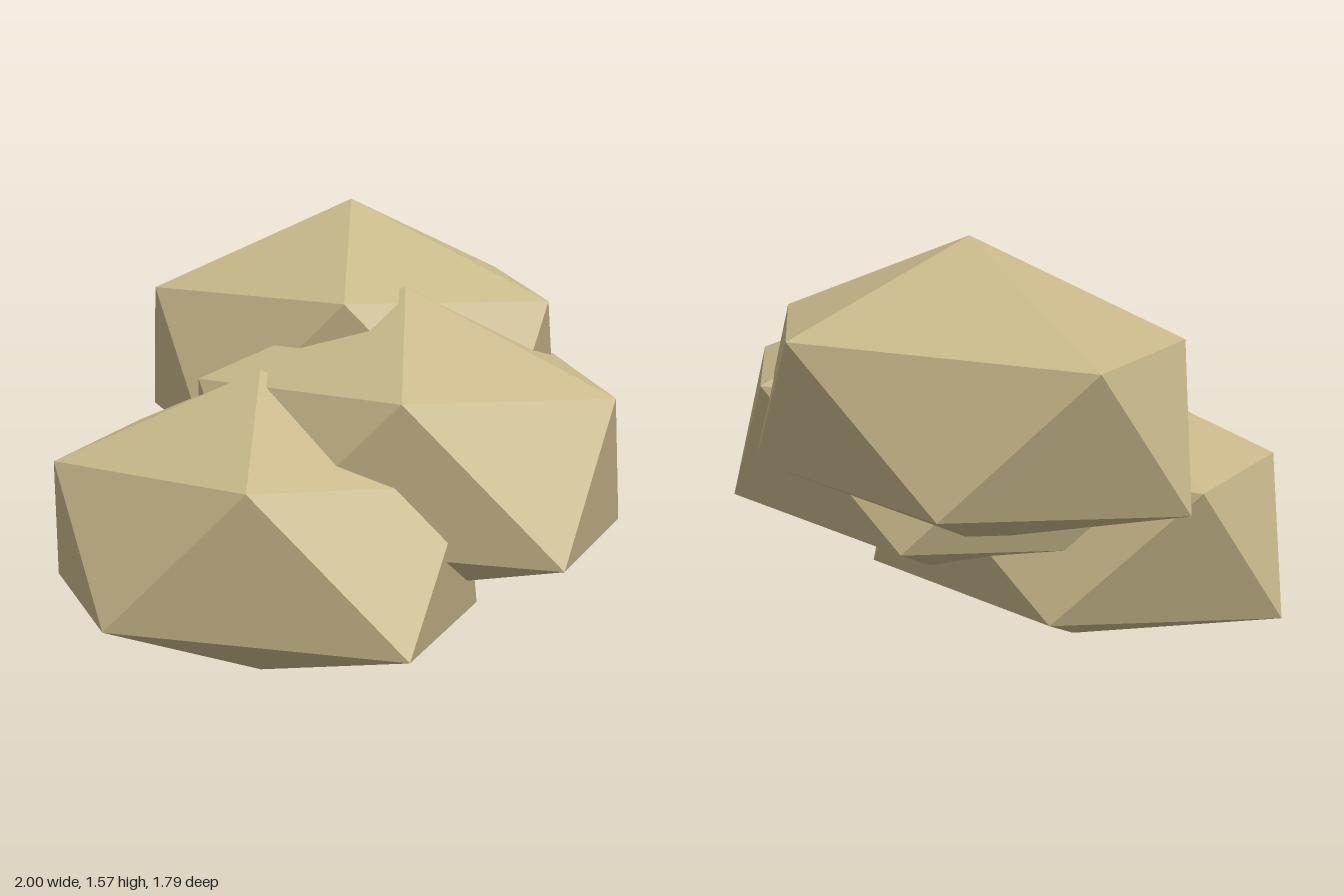
import * as THREE from 'three';

// Irregular twenty-sided lump: top point, two rings of five, bottom point
const TOP = [-0.15, 1.04, 0.33];
const BOTTOM = [-0.15, 0, 0.34];
const UPPER = [[-0.885, 0.755, -0.03], [-0.785, 0.72, 0.64], [0.11, 0.73, 0.86], [0.62, 0.715, 0.33], [0.14, 0.76, -0.26]];
const LOWER = [[-1, 0.24, 0.33], [-0.42, 0.225, 0.895], [0.605, 0.21, 0.695], [0.51, 0.245, 0.01], [-0.4, 0.245, -0.2]];

function lumpGeometry() {
  const corners = [];
  for (let i = 0; i < 5; i++) {
    const j = (i + 1) % 5;
    corners.push(
      TOP, UPPER[i], UPPER[j], // cap
      UPPER[i], LOWER[i], UPPER[j], // sides
      LOWER[i], LOWER[j], UPPER[j],
      LOWER[j], LOWER[i], BOTTOM // underside
    );
  }
  const geometry = new THREE.BufferGeometry();
  geometry.setAttribute('position', new THREE.Float32BufferAttribute(corners.flat(), 3));
  geometry.computeVertexNormals();
  return geometry;
}

export function createModel() {
  const group = new THREE.Group();
  group.name = 'rockCluster';
  const sand = new THREE.MeshStandardMaterial({ color: 0xc8b88a, flatShading: true });
  sand.name = 'sand';
  const geometry = lumpGeometry();

  // The same lump three times, overlapping
  const lumps = [
    ['frontLump', 0, 0, 0],
    ['leftLump', 0.38, 0.268, -0.325],
    ['backLump', 0, 0.533, -0.64],
  ];
  for (const [name, x, y, z] of lumps) {
    const lump = new THREE.Mesh(geometry, sand);
    lump.name = name;
    lump.position.set(x, y, z);
    group.add(lump);
  }
  return group;
}
